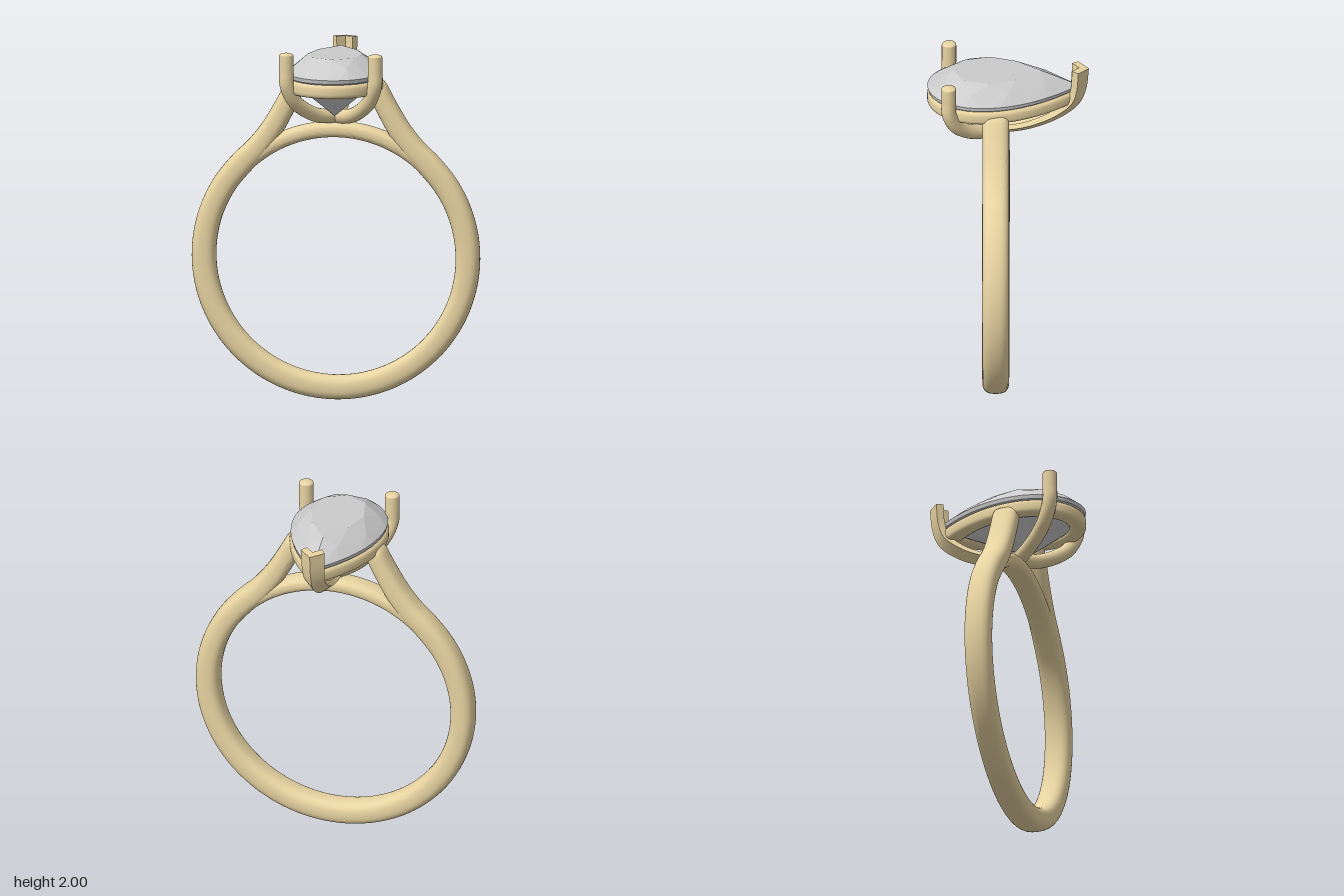
import * as THREE from 'three';
import { mergeVertices, toCreasedNormals } from 'three/addons/utils/BufferGeometryUtils.js';
import { ConvexGeometry } from 'three/addons/geometries/ConvexGeometry.js';

const BAND_Z = 0.065, RING_Y = 0.81;
const V = (x, y, z) => new THREE.Vector3(x, y, z);

// Sweep a section along a planar path. Section points are [along binormal, along normal].
function sweep(points, binormal, steps, sectionAt, crease) {
  const curve = new THREE.CatmullRomCurve3(points, false, 'centripetal');
  const pos = [], index = [];
  let n = 0;
  for (let i = 0; i <= steps; i++) {
    const p = curve.getPointAt(i / steps);
    const normal = curve.getTangentAt(i / steps).cross(binormal).normalize();
    const section = sectionAt(i / steps);
    n = section.length;
    for (const [a, b] of section) {
      const v = p.clone().addScaledVector(binormal, a).addScaledVector(normal, b);
      pos.push(v.x, v.y, v.z);
    }
  }
  const first = pos.length / 3, last = steps * n;
  for (const u of [0, 1]) pos.push(...curve.getPointAt(u).toArray());
  for (let j = 0; j < n; j++) {
    const k = (j + 1) % n;
    for (let i = 0; i < steps; i++) {
      const a = i * n, b = a + n;
      index.push(a + j, a + k, b + k, a + j, b + k, b + j);
    }
    index.push(first, k, j, first + 1, last + j, last + k);
  }
  const g = new THREE.BufferGeometry();
  g.setAttribute('position', new THREE.Float32BufferAttribute(pos, 3));
  g.setIndex(index);
  return toCreasedNormals(g, crease);
}

// Rounded, slightly squared section
function roundSection(a, b, power = 2.7, n = 28) {
  const f = (c) => Math.sign(c) * Math.abs(c) ** (2 / power);
  return Array.from({ length: n }, (_, i) => {
    const t = (i / n) * Math.PI * 2;
    return [a * f(Math.cos(t)), b * f(Math.sin(t))];
  });
}

// Arc around the finger hole, angles in degrees
function arc(radius, from, to, count) {
  return Array.from({ length: count + 1 }, (_, i) => {
    const t = THREE.MathUtils.degToRad(from + ((to - from) * i) / count);
    return V(radius * Math.cos(t), RING_Y + radius * Math.sin(t), BAND_Z);
  });
}

// Pear outline: t = 0 is the round front, t = +-1 the pointed back; returns [x, z]
function pear(t, scale = 1) {
  const s = Math.abs(t), side = Math.sign(t);
  let x, z;
  if (s < 0.45) {
    const a = (s / 0.45) * Math.PI / 2;
    x = 0.265 * Math.sin(a);
    z = 0.15 + 0.3 * Math.cos(a);
  } else {
    const u = (s - 0.45) / 0.55;
    x = 0.265 * (1 - u * u);
    z = 0.15 - 0.55 * u;
  }
  return [side * x * scale, 0.1 + (z - 0.1) * scale];
}

function pearRing(n, scale, y, offset = 0) {
  return Array.from({ length: n }, (_, i) => {
    const [x, z] = pear(-1 + (2 * (i + offset)) / n, scale);
    return V(x, y, z);
  });
}

export function createModel() {
  const group = new THREE.Group();
  const gold = new THREE.MeshStandardMaterial({ color: 0xe8d4a2 });
  const grey = new THREE.MeshStandardMaterial({ color: 0xcccccc });
  const add = (name, geometry, material = gold) => {
    const mesh = new THREE.Mesh(geometry, material);
    mesh.name = name;
    group.add(mesh);
    return mesh;
  };
  const zAxis = V(0, 0, 1), xAxis = V(1, 0, 0);

  // Band with shoulders rising to the setting
  const shoulder = [[0.215, 1.8], [0.29, 1.65], [0.365, 1.52], [0.445, 1.415]];
  const bandPath = [
    ...shoulder.map(([x, y]) => V(x, y, BAND_Z)),
    ...arc(0.742, 45, -225, 22),
    ...shoulder.map(([x, y]) => V(-x, y, BAND_Z)).reverse(),
  ];
  add('band', sweep(bandPath, zAxis, 200, (u) => {
    const e = Math.min(u, 1 - u);
    const cap = Math.sqrt(Math.min(1, 0.45 + e / 0.012));
    const slim = 0.056 + 0.012 * Math.min(1, e / 0.12);
    return roundSection(0.075 * cap, slim * cap);
  }, 0.8));

  // Bridge closing the finger hole beneath the setting
  add('bridge', sweep(arc(0.72, 36, 144, 16), zAxis, 60, () => roundSection(0.066, 0.044), 0.8));

  // Pear-shaped gallery rail
  const outline = (scale) => Array.from({ length: 64 }, (_, i) => {
    const [x, z] = pear(-1 + i / 32, scale);
    return new THREE.Vector2(x, -z);
  });
  const railShape = new THREE.Shape(outline(0.93));
  railShape.holes.push(new THREE.Path(outline(0.8)));
  const rail = new THREE.ExtrudeGeometry(railShape, {
    depth: 0.03, bevelThickness: 0.025, bevelSize: 0.024, bevelSegments: 4,
  });
  rail.rotateX(-Math.PI / 2).translate(0, 1.785, 0);
  rail.deleteAttribute('uv');
  rail.deleteAttribute('normal');
  add('galleryRail', toCreasedNormals(mergeVertices(rail, 1e-4), 0.7));

  // Faceted stone
  add('stone', new ConvexGeometry([
    V(0, 1.615, 0.13),
    ...pearRing(8, 0.55, 1.735, 0.5),
    ...pearRing(32, 0.985, 1.846),
    ...pearRing(32, 1, 1.868),
    ...pearRing(8, 0.82, 1.918, 0.5),
    ...pearRing(8, 0.58, 1.962),
  ]), grey);

  // Two round front prongs curving in under the stone
  for (const s of [1, -1]) {
    const path = new THREE.CatmullRomCurve3([
      [0.25, 1.985, 0.328], [0.25, 1.9, 0.328], [0.247, 1.82, 0.326], [0.215, 1.73, 0.29],
      [0.165, 1.67, 0.235], [0.09, 1.62, 0.15], [0, 1.603, 0.06],
    ].map(([x, y, z]) => V(s * x, y, z)));
    const side = s > 0 ? 'left' : 'right';
    add(side + 'FrontProng', new THREE.TubeGeometry(path, 48, 0.041, 18));
    const tip = add(side + 'ProngTip', new THREE.SphereGeometry(0.041, 18, 12));
    tip.position.set(s * 0.25, 1.985, 0.328);
    tip.scale.y = 0.37;
  }

  // Chevron prong guarding the pointed end
  const chevron = [[0, -0.05], [0.07, 0.01], [0.045, 0.045], [0, 0.005], [-0.045, 0.045], [-0.07, 0.01]];
  const backPath = [
    [1.98, -0.405], [1.86, -0.395], [1.775, -0.365], [1.695, -0.275], [1.637, -0.16], [1.605, -0.05], [1.595, 0.07],
  ].map(([y, z]) => V(0, y, z));
  add('backProng', sweep(backPath, xAxis, 40, (u) => {
    const k = 1 - 0.4 * u;
    return chevron.map(([a, b]) => [a * k, b * k]);
  }, 0.5));

  return group;
}
